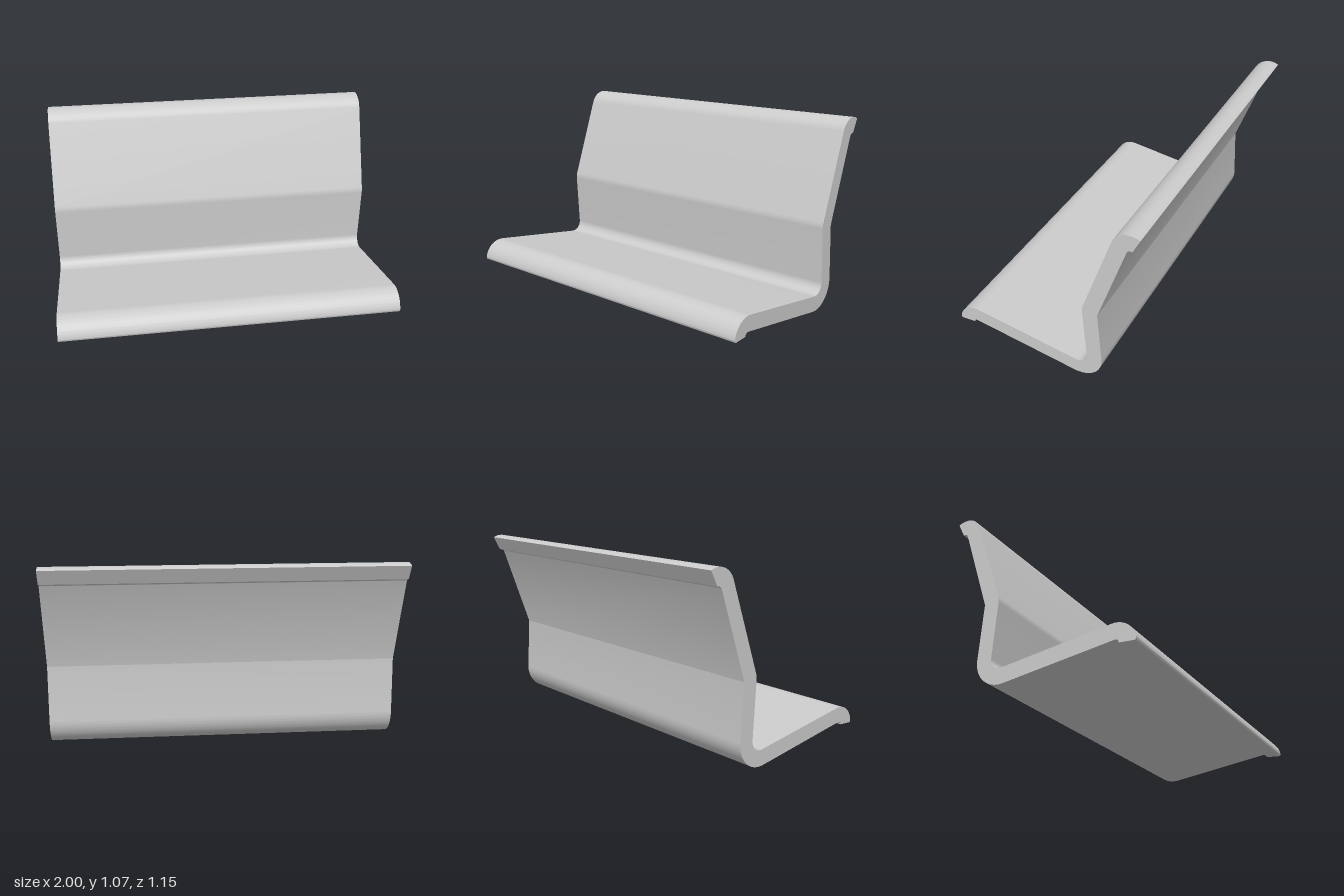
import * as THREE from 'three';
import { toCreasedNormals } from 'three/addons/utils/BufferGeometryUtils.js';

const rad = THREE.MathUtils.degToRad;

// Tilt of the surface normals of seat, lower back and upper back
const SEAT = 97.8, LOWER = -3.4, UPPER = 19.6;

// Side profile: shape x is depth (front positive), shape y is height
function benchProfile() {
  const s = new THREE.Shape();
  const arc = (x, y, r, from, to) => s.absarc(x, y, r, rad(from), rad(to), to < from);

  // Upper face: front lip, seat corner, back bend, top roll
  arc(0.461, 0.062, 0.118, 9, SEAT);
  arc(-0.198, 0.153, 0.063, SEAT - 180, LOWER - 180);
  arc(-0.342, 0.479, 0.1, LOWER, UPPER);
  arc(-0.523, 0.968, 0.107, UPPER, 118);

  // Underside of the top roll
  s.lineTo(-0.532, 0.982);
  s.quadraticCurveTo(-0.508, 0.985, -0.501, 0.964);

  // Rear face: back bend, seat corner
  arc(-0.342, 0.479, 0.01, UPPER, LOWER);
  arc(-0.198, 0.153, 0.153, LOWER + 180, SEAT + 180);

  // Underside of the front lip
  s.lineTo(0.461, 0.091);
  s.quadraticCurveTo(0.485, 0.092, 0.486, 0.072);
  s.lineTo(0.567, 0.066);
  s.quadraticCurveTo(0.577, 0.066, 0.5775, 0.0805);
  return s;
}

export function createModel() {
  const group = new THREE.Group();
  group.name = 'bench';

  // One slab of constant section running the full width
  const raw = new THREE.ExtrudeGeometry(benchProfile(), { depth: 2, bevelEnabled: false, curveSegments: 20 });
  raw.translate(0, 0, -1);
  raw.rotateY(-Math.PI / 2);

  const shell = new THREE.Mesh(
    toCreasedNormals(raw, rad(30)),
    new THREE.MeshStandardMaterial({ color: 0xcccccc })
  );
  shell.name = 'seatAndBackrest';
  group.add(shell);
  return group;
}
